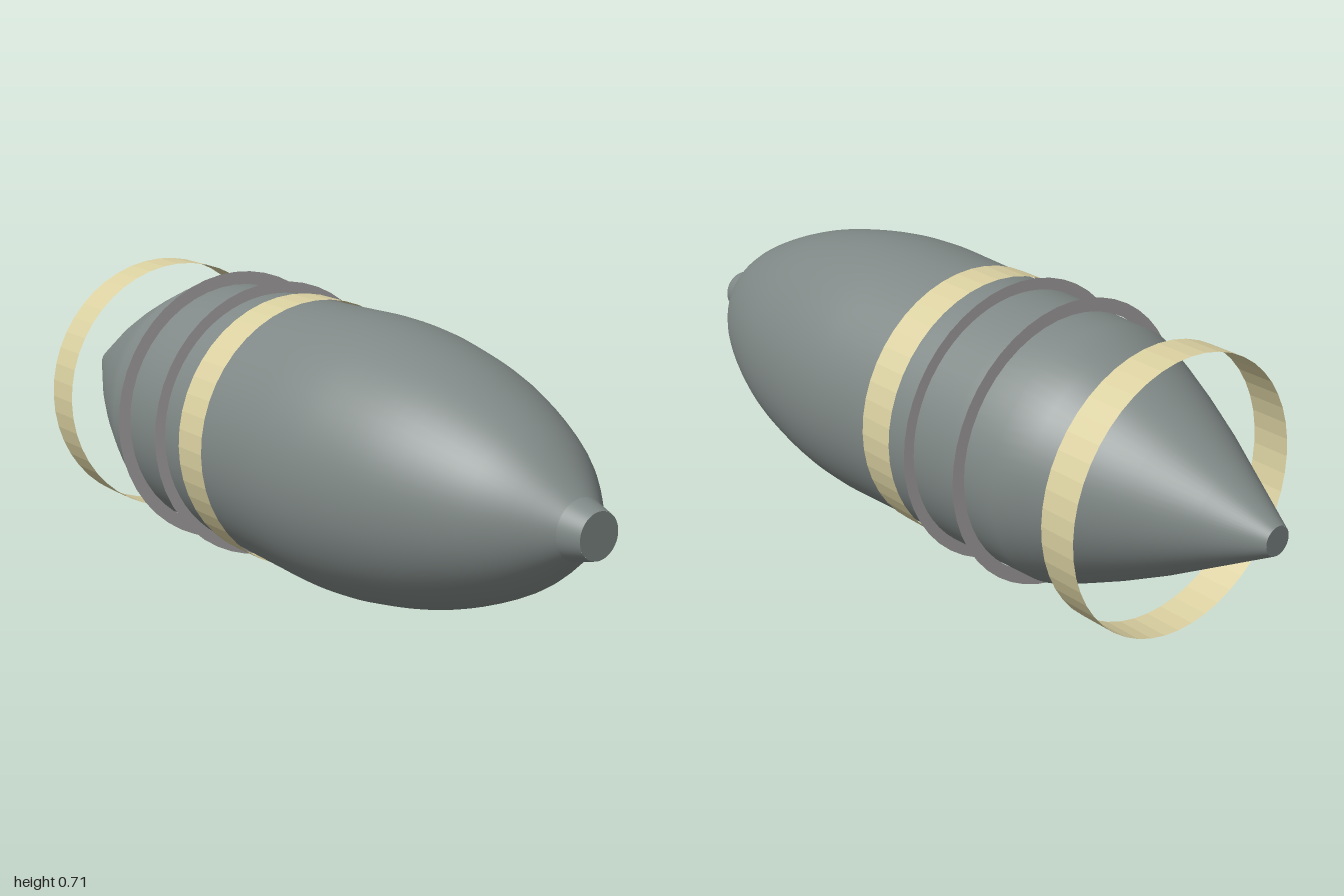
import * as THREE from 'three';

export function createModel() {
  const model = new THREE.Group();
  model.name = 'shell';

  const bodyGrey = new THREE.MeshStandardMaterial({ color: 0x7f8886 });
  bodyGrey.name = 'body grey';
  const bandTan = new THREE.MeshStandardMaterial({ color: 0xd9cfa0, flatShading: true, side: THREE.DoubleSide });
  bandTan.name = 'band tan';
  const ringGrey = new THREE.MeshStandardMaterial({ color: 0xb0adad, side: THREE.DoubleSide });
  ringGrey.name = 'ring grey';

  // Everything turns around the long axis, built along y and laid along x
  const axis = new THREE.Group();
  axis.name = 'axis';
  axis.rotation.z = -Math.PI / 2;
  axis.position.y = 0.355;
  model.add(axis);

  const add = (name, geometry, material, along = 0) => {
    const mesh = new THREE.Mesh(geometry, material);
    mesh.name = name;
    mesh.position.y = along;
    axis.add(mesh);
    return mesh;
  };
  // Profile points are [radius, position along the axis]
  const lathe = (points) => new THREE.LatheGeometry(points.map(([r, a]) => new THREE.Vector2(r, a)), 64);

  // Body: tapered tail, nearly straight middle, rounded nose
  const nose = new THREE.SplineCurve([
    [0.334, 0.12], [0.336, 0.25], [0.321, 0.4], [0.274, 0.6], [0.185, 0.8], [0.07, 0.945],
  ].map(([r, a]) => new THREE.Vector2(r, a))).getPoints(24).map((p) => [p.x, p.y]);
  add('body', lathe([
    [0.035, -1], [0.11, -0.865], [0.185, -0.73], [0.24, -0.62], [0.285, -0.52],
    [0.316, -0.445], [0.32, -0.3], [0.327, -0.1], ...nose,
  ]), bodyGrey);

  // Nose collar and flat end caps
  add('noseCollar', lathe([[0.07, 0.945], [0.054, 1]]), bodyGrey);
  add('noseCap', new THREE.CircleGeometry(0.054, 48), bodyGrey, 1).rotation.x = -Math.PI / 2;
  add('tailCap', new THREE.CircleGeometry(0.035, 48), bodyGrey, -1).rotation.x = Math.PI / 2;

  // Open bands: one floating around the tail, one around the middle
  for (const [name, along] of [['tailBand', -0.68], ['middleBand', -0.05]]) {
    add(name, new THREE.CylinderGeometry(0.335, 0.335, 0.1, 48, 1, true), bandTan, along);
  }

  // Flat rings standing out from the body
  for (const [name, along] of [['rearRing', -0.355], ['frontRing', -0.18]]) {
    add(name, new THREE.RingGeometry(0.32, 0.353, 48), ringGrey, along).rotation.x = -Math.PI / 2;
  }

  return model;
}
